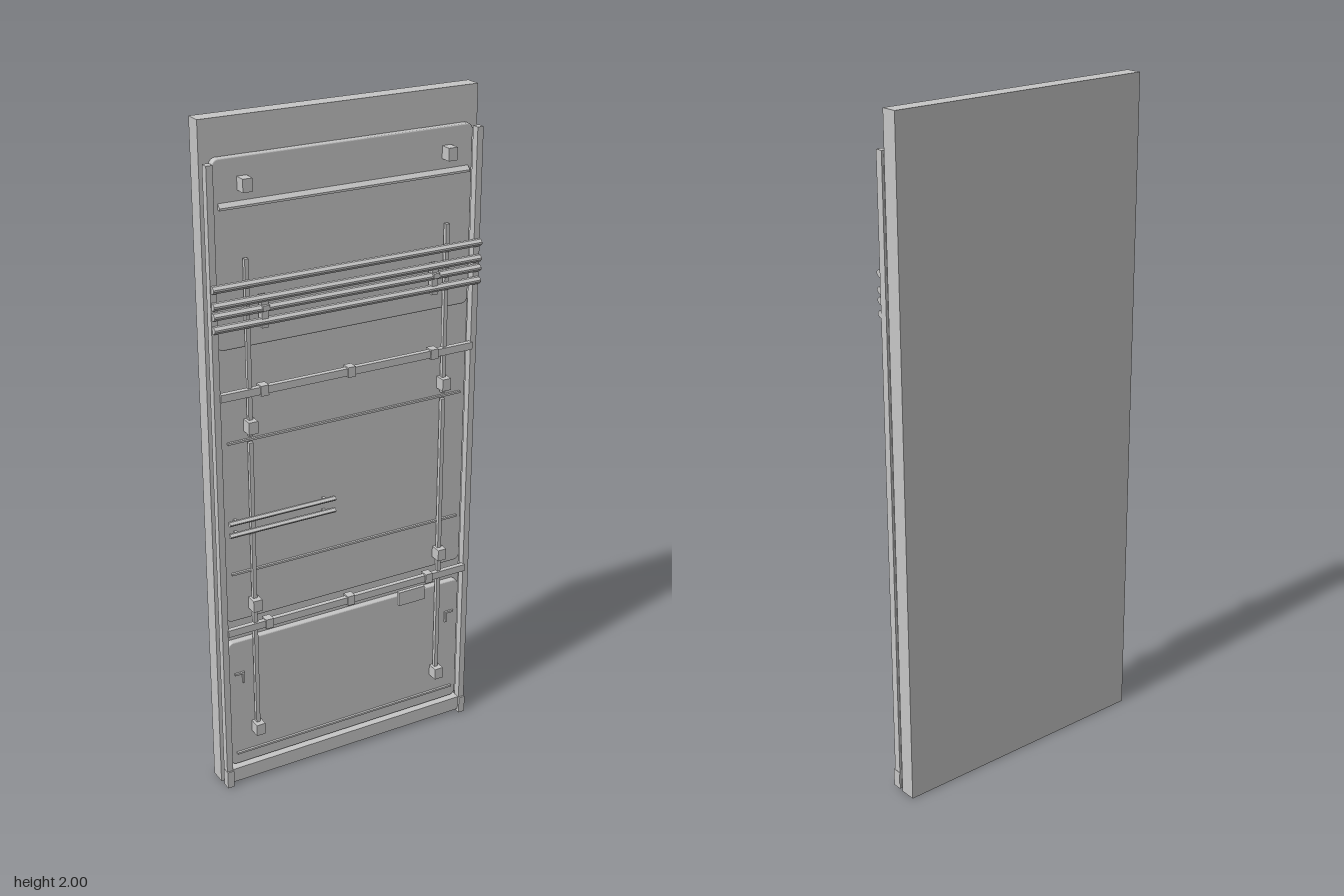
import * as THREE from 'three';

export function createModel() {
  const model = new THREE.Group();
  const grey = new THREE.MeshStandardMaterial({ color: 0xc6c6c6 });
  grey.name = 'light grey';

  function add(name, geometry, x = 0, y = 0, z = 0) {
    const mesh = new THREE.Mesh(geometry, grey);
    mesh.name = name;
    mesh.position.set(x, y, z);
    model.add(mesh);
    return mesh;
  }
  // box given by its limits on each axis
  function box(name, x0, x1, y0, y1, z0, z1) {
    return add(name, new THREE.BoxGeometry(x1 - x0, y1 - y0, z1 - z0),
      (x0 + x1) / 2, (y0 + y1) / 2, (z0 + z1) / 2);
  }
  // raised panel with rounded corners and a small bevelled rim
  function panel(name, y0, y1) {
    const b = 0.004, w = 0.394 - b, r = 0.015;
    const lo = y0 + b, hi = y1 - b;
    const s = new THREE.Shape();
    s.moveTo(-w + r, lo);
    s.lineTo(w - r, lo);
    s.absarc(w - r, lo + r, r, -Math.PI / 2, 0);
    s.absarc(w - r, hi - r, r, 0, Math.PI / 2);
    s.absarc(-w + r, hi - r, r, Math.PI / 2, Math.PI);
    s.absarc(-w + r, lo + r, r, Math.PI, Math.PI * 1.5);
    add(name, new THREE.ExtrudeGeometry(s, {
      depth: 0.013, bevelThickness: b, bevelSize: b, bevelSegments: 4, curveSegments: 5,
    }), 0, 0, -0.001);
  }
  // horizontal bar with a cross-section of [z, y] points
  function profileBar(name, points, x0, x1, y) {
    const shape = new THREE.Shape(points.map(([z, h]) => new THREE.Vector2(-z, h)));
    const g = new THREE.ExtrudeGeometry(shape, { depth: x1 - x0, bevelEnabled: false });
    g.rotateY(Math.PI / 2);
    add(name, g, x0, y, 0);
  }

  // main slab and three raised panels
  box('slab', -0.42, 0.42, 0, 2, -0.054, -0.005);
  panel('upperPanel', 1.38, 1.9);
  panel('middlePanel', 0.55, 1.25);
  panel('lowerPanel', 0.06, 0.48);

  // narrow ledges across the panels; the upper one slopes forward
  profileBar('upperLedge', [[0.012, -0.008], [0.028, -0.008], [0.028, -0.002], [0.012, 0.012]],
    -0.38, 0.38, 1.775);
  for (const y of [1.11, 0.705, 0.1]) box('ledge', -0.375, 0.375, y - 0.003, y + 0.003, 0.012, 0.023);

  // foot rail
  box('footRail', -0.4, 0.4, 0.01, 0.055, -0.005, 0.03);

  for (const s of [-1, 1]) {
    const mirrored = (name, a, b, ...rest) =>
      box(name, Math.min(s * a, s * b), Math.max(s * a, s * b), ...rest);
    // side rails on thin webs
    mirrored('sideRail', 0.398, 0.417, 0, 1.89, 0.01, 0.033);
    mirrored('sideWeb', 0.406, 0.41, 0, 1.88, -0.005, 0.011);
    mirrored('railFoot', 0.397, 0.418, 0, 0.055, 0.011, 0.038);
    // vertical rods with a break, held by guides
    for (const [y0, y1] of [[0.18, 1.105], [1.125, 1.63]]) {
      mirrored('rod', 0.304, 0.316, y0, y1, 0.021, 0.033);
    }
    for (const y of [0.18, 0.6, 1.155, 1.83]) {
      mirrored('rodGuide', 0.296, 0.324, y - 0.018, y + 0.018, 0.016, 0.05);
    }
    // latches behind the slats
    mirrored('latch', 0.255, 0.275, 1.435, 1.525, 0.025, 0.044);
    mirrored('latchTab', 0.255, 0.275, 1.485, 1.5, 0.044, 0.053);
    // small hooks on the lower panel
    mirrored('hookArm', 0.345, 0.375, 0.37, 0.376, 0.014, 0.022);
    mirrored('hookStem', 0.345, 0.351, 0.34, 0.37, 0.014, 0.022);
  }

  // stack of pointed slats across the rails
  const slat = [[0.032, -0.01], [0.042, -0.01], [0.05, -0.002],
    [0.05, 0.003], [0.042, 0.01], [0.032, 0.01]];
  for (const y of [1.563, 1.517, 1.489, 1.452]) profileBar('slat', slat, -0.415, 0.415, y);

  // cross rails with clips
  for (const [y, front] of [[1.255, 0.044], [0.527, 0.043]]) {
    box('crossRail', -0.4, 0.4, y - 0.011, y + 0.011, 0.024, front - 0.004);
    for (const x of [-0.27, 0, 0.27]) {
      box('railClip', x - 0.012, x + 0.012, y - 0.015, y + 0.015, 0.016, front);
    }
  }

  // short handle bars
  const handle = [[0.03, -0.007], [0.036, -0.007], [0.043, -0.001],
    [0.043, 0.001], [0.036, 0.007], [0.03, 0.007]];
  for (const y of [0.873, 0.836]) {
    profileBar('handleBar', handle, -0.385, -0.05, y);
    for (const x of [-0.36, -0.08]) box('handlePost', x - 0.004, x + 0.004, y - 0.004, y + 0.004, 0.014, 0.032);
  }

  // small plate below the lower cross rail
  box('plate', 0.165, 0.255, 0.46, 0.505, 0.03, 0.042);

  return model;
}
